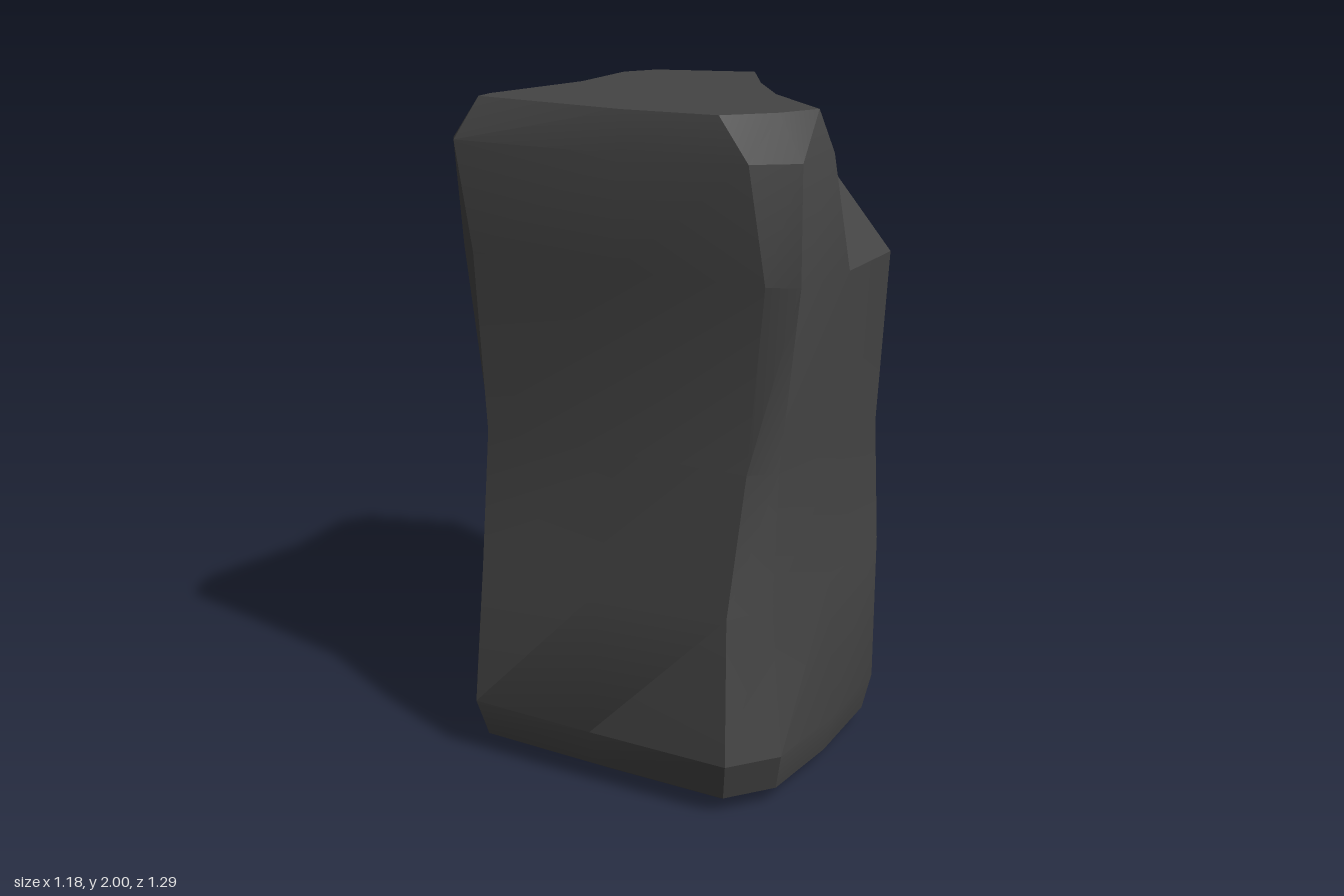
import * as THREE from 'three';
import { toCreasedNormals } from 'three/addons/utils/BufferGeometryUtils.js';

// Cross-sections [x, z, ...], each starting at the front left corner and
// running along the front, up the right side, round the back and home again.
const foot = [-.42, .64, 0, .645, .46, .64, .57, .5, .59, .2, .57, -.14,
  .36, -.43, 0, -.36, -.3, -.26, -.56, -.16, -.58, .1, -.54, .47];
const shin = [-.42, .58, 0, .59, .43, .58, .51, .45, .55, .15, .53, -.24,
  .28, -.45, -.05, -.38, -.3, -.24, -.48, -.1, -.48, .15, -.47, .42];
const waist = [-.46, .475, 0, .475, .43, .465, .5, .4, .55, .1, .53, -.2,
  .25, -.435, -.06, -.4, -.36, -.28, -.52, -.12, -.52, .12, -.51, .4];
const shoulder = [-.5, .465, 0, .475, .48, .46, .57, .42, .59, .15, .58, -.16,
  .3, -.44, -.15, -.62, -.44, -.52, -.54, -.35, -.58, 0, -.58, .4];
const rim = [-.56, .46, 0, .455, .42, .45, .54, .36, .53, .14, .33, -.11,
  .08, -.41, -.17, -.65, -.46, -.54, -.53, -.42, -.58, -.02, -.59, .42];
const crown = [-.53, .37, 0, .42, .3, .4, .42, .27, .48, .14, .22, -.1,
  0, -.4, -.12, -.61, -.44, -.51, -.5, -.4, -.47, -.1, -.54, .3];

const shrink = (ring, s) => ring.map((v) => v * s);

// Skin a stack of equal-length rings and close both ends with fans
function loft(layers) {
  const n = layers[0].ring.length / 2;
  const positions = [];
  const index = [];
  for (const { y, ring } of layers) {
    for (let i = 0; i < n; i++) positions.push(ring[2 * i], y, ring[2 * i + 1]);
  }
  for (let j = 0; j < layers.length - 1; j++) {
    for (let i = 0; i < n; i++) {
      const a = j * n + i;
      const b = j * n + (i + 1) % n;
      index.push(a, b, b + n, a, b + n, a + n);
    }
  }
  const last = (layers.length - 1) * n;
  const bottom = positions.length / 3;
  positions.push(0, layers[0].y, .1, -.1, layers.at(-1).y, 0);
  for (let i = 0; i < n; i++) {
    const k = (i + 1) % n;
    index.push(bottom, k, i, bottom + 1, last + i, last + k);
  }
  const geometry = new THREE.BufferGeometry();
  geometry.setAttribute('position', new THREE.Float32BufferAttribute(positions, 3));
  geometry.setIndex(index);
  return geometry;
}

export function createModel() {
  const group = new THREE.Group();
  group.name = 'rock';

  // Standing stone: bevelled foot, narrow waist, overhanging back corner, sloped crown
  const geometry = loft([
    { y: 0, ring: shrink(foot, .83) },
    { y: .05, ring: shrink(foot, .95) },
    { y: .17, ring: foot },
    { y: .6, ring: shin },
    { y: 1, ring: waist },
    { y: 1.55, ring: shoulder },
    { y: 1.88, ring: rim },
    { y: 2, ring: crown },
  ]);
  const stone = new THREE.Mesh(
    toCreasedNormals(geometry, .4),
    new THREE.MeshStandardMaterial({ color: 0x444444 }),
  );
  stone.name = 'standingStone';
  group.add(stone);
  return group;
}
